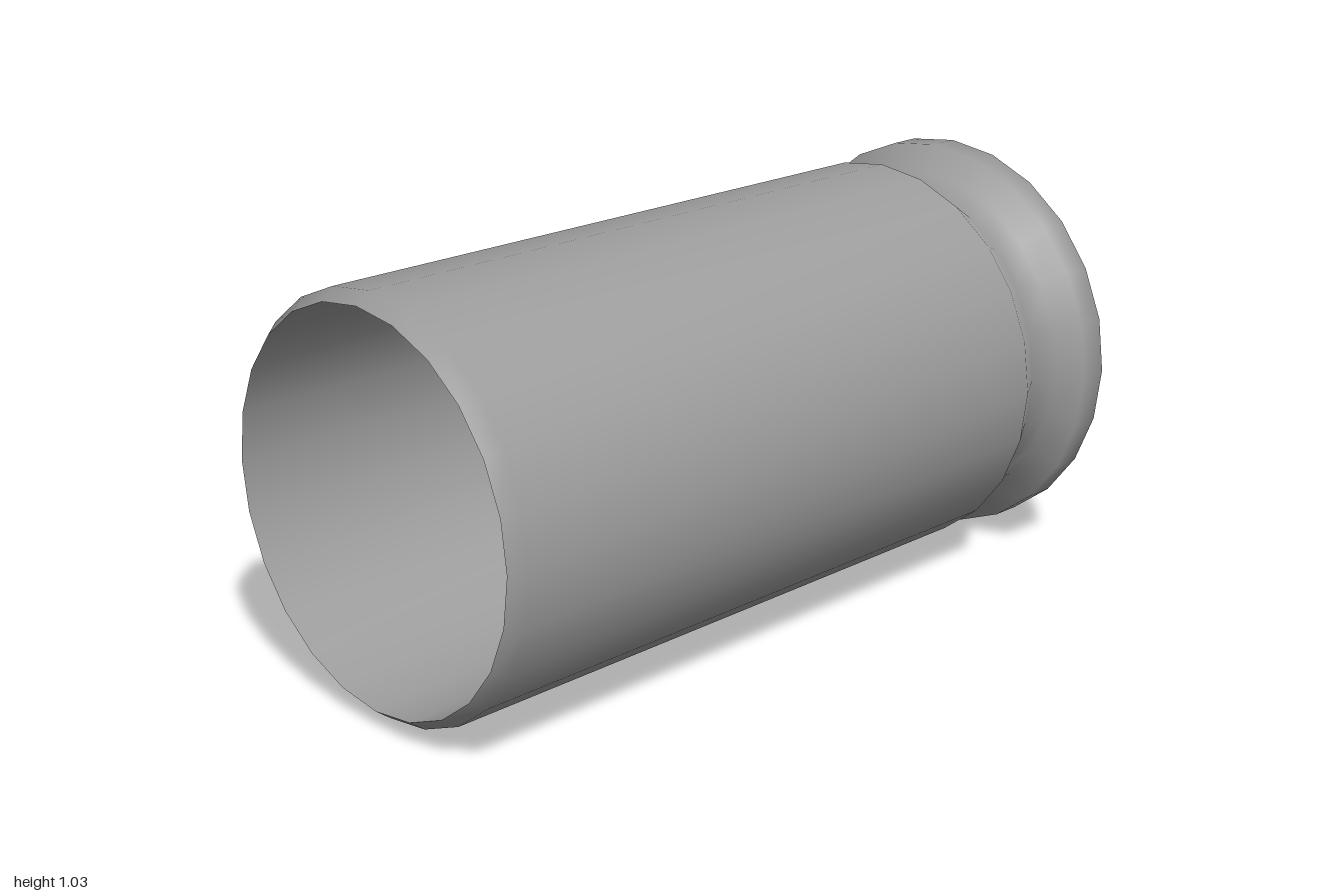
import * as THREE from 'three';
import { mergeVertices } from 'three/addons/utils/BufferGeometryUtils.js';

const SIDES = 24;
const AXIS_HEIGHT = 0.517;

// Closed-end tubular casing lying along z, open at the front.
export function createModel() {
  const group = new THREE.Group();
  group.name = 'casing';
  const material = new THREE.MeshStandardMaterial({ color: 0x9c9c9c });

  // Revolve a [radius, z] profile around the z axis; each call is one
  // continuous smooth surface with area-weighted normals.
  function revolve(name, profile) {
    const points = profile.map(([r, z]) => new THREE.Vector2(r, z));
    const lathe = new THREE.LatheGeometry(points, SIDES).rotateX(Math.PI / 2);
    lathe.deleteAttribute('uv');
    lathe.deleteAttribute('normal');
    const geometry = mergeVertices(lathe);
    geometry.computeVertexNormals();
    const mesh = new THREE.Mesh(geometry, material);
    mesh.name = name;
    mesh.position.y = AXIS_HEIGHT;
    group.add(mesh);
  }

  // Flat rear base
  revolve('base', [[0, -1], [0.455, -1]]);

  // Outer shell: bevelled rear rim, groove, shoulder, long body and tapered mouth
  revolve('shell', [
    [0.455, -1], [0.516, -0.94], [0.516, -0.865],
    [0.44, -0.845], [0.44, -0.75], [0.497, -0.66],
    [0.497, 0.965], [0.47, 1],
  ]);

  // Hollow interior
  revolve('innerWall', [[0.47, 1], [0.47, -0.66]]);
  revolve('innerFloor', [[0.47, -0.66], [0, -0.66]]);

  return group;
}
